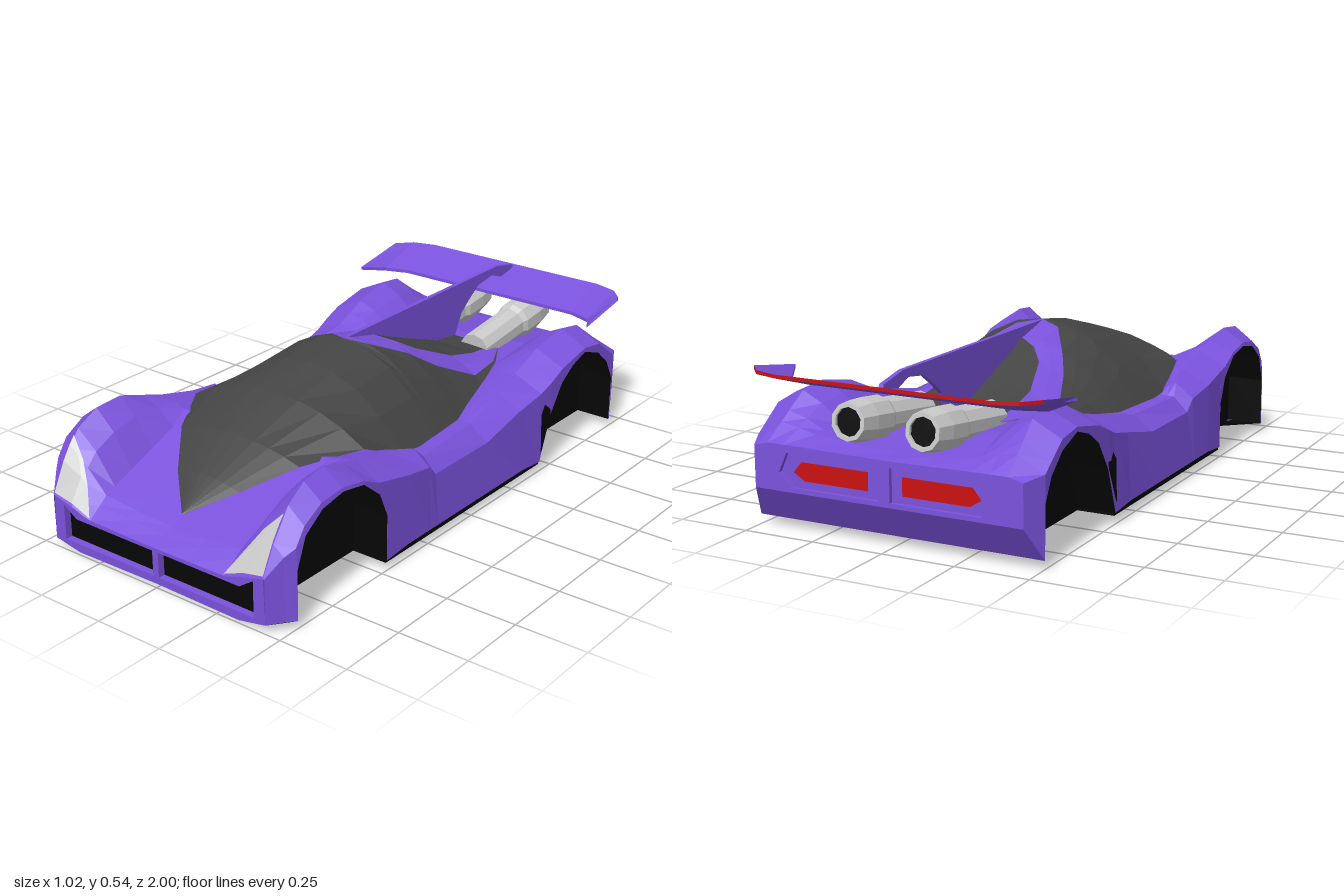
import * as THREE from 'three';

const mat = (color) => new THREE.MeshStandardMaterial({ color, flatShading: true, side: THREE.DoubleSide });
const V = (x, y, z) => new THREE.Vector3(x, y, z);

// Skin over rows of points (rows run front to back, points run -x to +x)
function loft(rows) {
  const n = rows[0].length, index = [];
  for (let i = 0; i < rows.length - 1; i++) {
    for (let j = 0; j < n - 1; j++) {
      const a = i * n + j, b = a + n;
      index.push(a, a + 1, b + 1, a, b + 1, b);
    }
  }
  const g = new THREE.BufferGeometry().setFromPoints(rows.flat());
  g.setIndex(index);
  g.computeVertexNormals();
  return g;
}
// Straight-line interpolation along a guide line of [z, value] pairs, front to back
function along(line, z) {
  const i = Math.max(1, line.findIndex((p) => p[0] <= z));
  const [z0, v0] = line[i - 1], [z1, v1] = line[i];
  return v0 + (v1 - v0) * (z0 - z) / (z0 - z1);
}
// Half row from the centre outwards -> full symmetric row
const mirrorRow = (half) => [...half.slice(1).reverse().map((p) => V(-p.x, p.y, p.z)), ...half];
const flip = (rows) => rows.map((r) => r.map((p) => V(-p.x, p.y, p.z)).reverse());
const shapeOf = (pts) => new THREE.Shape(pts.map(([x, y]) => new THREE.Vector2(x, y)));
const flipX = (pts) => pts.map(([x, y]) => [-x, y]).reverse();
const extrude = (shape, depth) => new THREE.ExtrudeGeometry(shape, { depth, bevelEnabled: false });

// Wheel arch outlines as [z, y]
const frontArch = [[.92, .03], [.92, .2], [.88, .3], [.8, .355], [.7, .373], [.6, .355], [.52, .29], [.48, .2], [.48, .04]];
const rearArch = [[-.42, .04], [-.48, .2], [-.55, .3], [-.62, .345], [-.7, .37], [-.8, .335], [-.87, .275], [-.91, .2], [-.91, .03]];

// Guide lines of the body
const hoodY = [[1, .14], [.92, .18], [.52, .335], [.36, .315], [.2, .262], [-.1, .262], [-.48, .31], [-.7, .32], [-.98, .285]];
const valleyX = [[1, .285], [.6, .29], [.48, .32], [.2, .39], [-.1, .37], [-.48, .26], [-.7, .25], [-.98, .3]];
const peakX = [[1, .44], [.88, .44], [.36, .4], [.2, .44], [-.1, .42], [-.42, .39], [-.7, .4], [-.98, .42]];
const peakY = [[1, .185], [.95, .28], [.88, .38], [.8, .425], [.7, .435], [.52, .38], [.36, .345], [.24, .32], [.2, .28],
  [-.1, .28], [-.42, .35], [-.55, .405], [-.7, .435], [-.8, .42], [-.98, .29]];
const shoulderX = [[1, .445], [.92, .5], [.36, .505], [.2, .49], [-.3, .49], [-.48, .505], [-.91, .505], [-.98, .47]];

// Body cross-section at z whose side wall ends at height low
function bodyRow([z, low]) {
  const hy = along(hoodY, z), vx = along(valleyX, z), px = along(peakX, z), py = along(peakY, z), sx = along(shoulderX, z);
  const ease = Math.min(1, (1 - Math.abs(z)) / .08);
  const vy = hy + .02 * ease;
  return mirrorRow([
    V(0, hy, z), V(vx / 2, hy + (vy - hy) * .4, z), V(vx, vy, z), V((vx + px) / 2, vy + (py - vy) * .62, z),
    V(px, py, z), V(sx, Math.max(low + .012, py - .05 * ease), z), V(sx < .48 ? sx : .505, low, z),
  ]);
}

export function createModel() {
  const car = new THREE.Group();
  car.name = 'sportsCar';
  const purple = mat(0x7a52dc), dark = mat(0x444444), black = mat(0x060606), red = mat(0xcc1010), grey = mat(0xcccccc);
  const add = (name, geo, m, x = 0, y = 0, z = 0) => {
    const mesh = new THREE.Mesh(geo, m);
    mesh.name = name;
    mesh.position.set(x, y, z);
    car.add(mesh);
  };
  const addPair = (name, rows, m) => {
    add(name + 'Left', loft(rows), m);
    add(name + 'Right', loft(flip(rows)), m);
  };

  // Body shell, its lower edge following bumper, arches and sill
  const lowerEdge = [[1, .03], [.95, .03], ...frontArch, [.36, .05], [.24, .05], [.2, .05], [-.1, .05], [-.3, .05], ...rearArch, [-.98, .14]];
  add('bodyShell', loft(lowerEdge.map(bodyRow)), purple);

  // Wheel wells: arch liner plus inner wall
  for (const [name, arch] of [['frontWheelWell', frontArch], ['rearWheelWell', rearArch]]) {
    addPair(name, arch.map(([z, y]) => [V(.37, .035, z), V(.37, y, z), V(.503, y, z)]), black);
  }

  // Floor, narrowed between the wheels
  const floorHalf = [[.37, .91], [.37, .42], [.5, .42], [.5, -.48], [.37, -.48], [.37, -.92]];
  const floor = extrude(shapeOf([...floorHalf, ...flipX(floorHalf)]), .022);
  floor.rotateX(-Math.PI / 2);
  add('floor', floor, black, 0, .03, 0);
  add('frontSplitter', loft([
    mirrorRow([V(0, .015, 1), V(.34, .01, 1), V(.445, .03, 1)]),
    mirrorRow([V(0, .015, .92), V(.34, 0, .92), V(.505, .03, .92)]),
    mirrorRow([V(0, .03, .85), V(.3, .03, .85), V(.37, .03, .85)]),
  ]), black);

  // Nose panel with two grille openings
  const noseHalf = [[0, .14], [.285, .142], [.44, .185], [.445, .03], [.34, .01], [0, .015]];
  const grille = [[.012, .04], [.4, .04], [.4, .165], [.345, .128], [.012, .128]];
  const nose = shapeOf([...noseHalf, ...flipX(noseHalf).slice(1, -1)]);
  nose.holes.push(shapeOf(grille), shapeOf(flipX(grille)));
  add('nosePanel', extrude(nose, .03), purple, 0, 0, .97);

  // Headlights lying on the front of the fenders
  addPair('headlight', [
    [V(.285, .15, 1), V(.3625, .18, 1), V(.44, .195, 1)],
    [V(.335, .232, .952), V(.3625, .255, .952), V(.44, .29, .952)],
    [V(.38, .3, .922), V(.4, .312, .922), V(.44, .335, .922)],
    [V(.44, .362, .9), V(.44, .362, .9), V(.44, .362, .9)],
  ], grey);

  // Tail panel with recessed frames
  const tailHalf = [[0, .285], [.3, .289], [.42, .29], [.47, .277], [.47, .14], [0, .14]];
  const frame = [[.02, .155], [.33, .155], [.38, .2], [.35, .265], [.02, .265]];
  const lamp = [[.06, .18], [.29, .18], [.33, .205], [.3, .24], [.06, .24]];
  const tail = shapeOf([...tailHalf, ...flipX(tailHalf).slice(1, -1)]);
  tail.holes.push(shapeOf(frame), shapeOf(flipX(frame)));
  add('tailPanel', extrude(tail, .02), purple, 0, 0, -.98);
  add('rearSkirt', loft([
    mirrorRow([V(0, .14, -.98), V(.47, .14, -.98)]),
    mirrorRow([V(0, .03, -.91), V(.505, .03, -.91)]),
  ]), purple);

  // Grille backs, tail recesses and tail lights on both sides
  for (const [side, f] of [['Left', (p) => p], ['Right', flipX]]) {
    add('grille' + side, new THREE.ShapeGeometry(shapeOf(f(grille))), black, 0, 0, .975);
    add('tailRecess' + side, new THREE.ShapeGeometry(shapeOf(f(frame))), purple, 0, 0, -.966);
    add('tailLight' + side, new THREE.ShapeGeometry(shapeOf(f(lamp))), red, 0, 0, -.972);
  }

  // Canopy: z, half width, base y, top y
  const arc = (x, [z, w, yb, yc]) => V(x, yb + (yc - yb) * (1 - Math.min(1, x / w) ** 2.2), z);
  const K = [0, .25, .5, .75, 1];
  const mid = [.06, .388, .275, .54];
  const glass = [
    [.87, .004, .205, .208], [.75, .13, .272, .29], [.6, .25, .338, .375],
    [.41, .36, .36, .46], [.24, .392, .29, .512], mid,
  ];
  add('windshieldAndRoof', loft(glass.map((s) => mirrorRow(K.map((k) => arc(k * s[1], s))))), dark);

  // Rear canopy: the last two values bound the coloured roof band
  const rear = [
    [...mid, 0, 0], [.02, .385, .275, .533, 0, .08], [-.1, .37, .28, .505, 0, .155], [-.14, .358, .285, .489, .07, .18],
    [-.2, .34, .292, .465, .12, .21], [-.35, .3, .313, .41, .165, .268],
    [-.48, .268, .342, .362, .17, .258], [-.6, .2, .34, .346, .17, .198],
  ];
  addPair('rearSideWindow', rear.map((s) => K.map((k) => arc(s[5] + (s[1] - s[5]) * k, s))), dark);
  addPair('roofBand', rear.map((s) => [0, .5, 1].map((k) => arc(s[4] + (s[5] - s[4]) * k, s))), purple);
  add('engineDeck', loft(rear.slice(2).map((s) => mirrorRow([arc(0, s), arc(s[4] / 2, s), arc(s[4], s)]))), dark);

  // Side intakes ahead of the rear wheels
  addPair('sideIntake', [
    [V(.509, .08, -.42), V(.509, .08, -.425)],
    [V(.505, .22, -.42), V(.507, .2, -.478)],
    [V(.499, .285, -.47), V(.499, .29, -.485)],
  ], black);

  // Centre fin running from roof to wing
  const fin = extrude(shapeOf([
    [.04, .54], [-.1, .49], [-.35, .4], [-.5, .34], [-.6, .34], [-.64, .42], [-.69, .46],
    [-.75, .5], [-.84, .513], [-.9, .49], [-.985, .505], [-.98, .518], [-.87, .54],
  ]), .016);
  fin.rotateY(-Math.PI / 2);
  add('centreFin', fin, purple, .008, 0, 0);

  // Rear wing with swept tips (x, front z/y, back z) and a light strip along the trailing edge
  const span = [[0, -.82, .457, -1], [.37, -.82, .457, -1], [.455, -.79, .457, -.975], [.505, -.7, .475, -.92]];
  const front = (dy) => mirrorRow(span.map(([x, z, y]) => V(x, y + dy, z)));
  const back = (dy) => mirrorRow(span.map((s) => V(s[0], .513 + dy, s[3])));
  add('rearWing', loft([back(-.012), front(-.012), front(0), back(0)]), purple);
  add('wingLightStrip', loft([back(0), back(-.012)]), red);

  // Twin exhausts: faceted pipe, flange and dark bore
  const profile = [[0, 0], [.06, 0], [.06, .24], [.07, .26], [.07, .35], [.06, .42], [.046, .42], [.046, .39]];
  for (const [side, x] of [['Left', .13], ['Right', -.13]]) {
    const exhaust = new THREE.Group();
    exhaust.name = 'exhaust' + side;
    const pipe = new THREE.Mesh(new THREE.LatheGeometry(profile.map(([r, y]) => new THREE.Vector2(r, y)), 10), grey);
    pipe.name = 'exhaustPipe';
    const bore = new THREE.Mesh(new THREE.CylinderGeometry(.047, .047, .01, 10), black);
    bore.name = 'exhaustBore';
    bore.position.y = .405;
    exhaust.add(pipe, bore);
    exhaust.position.set(x, .335, -.55);
    exhaust.rotation.x = -Math.PI / 2 + .12;
    car.add(exhaust);
  }
  return car;
}
